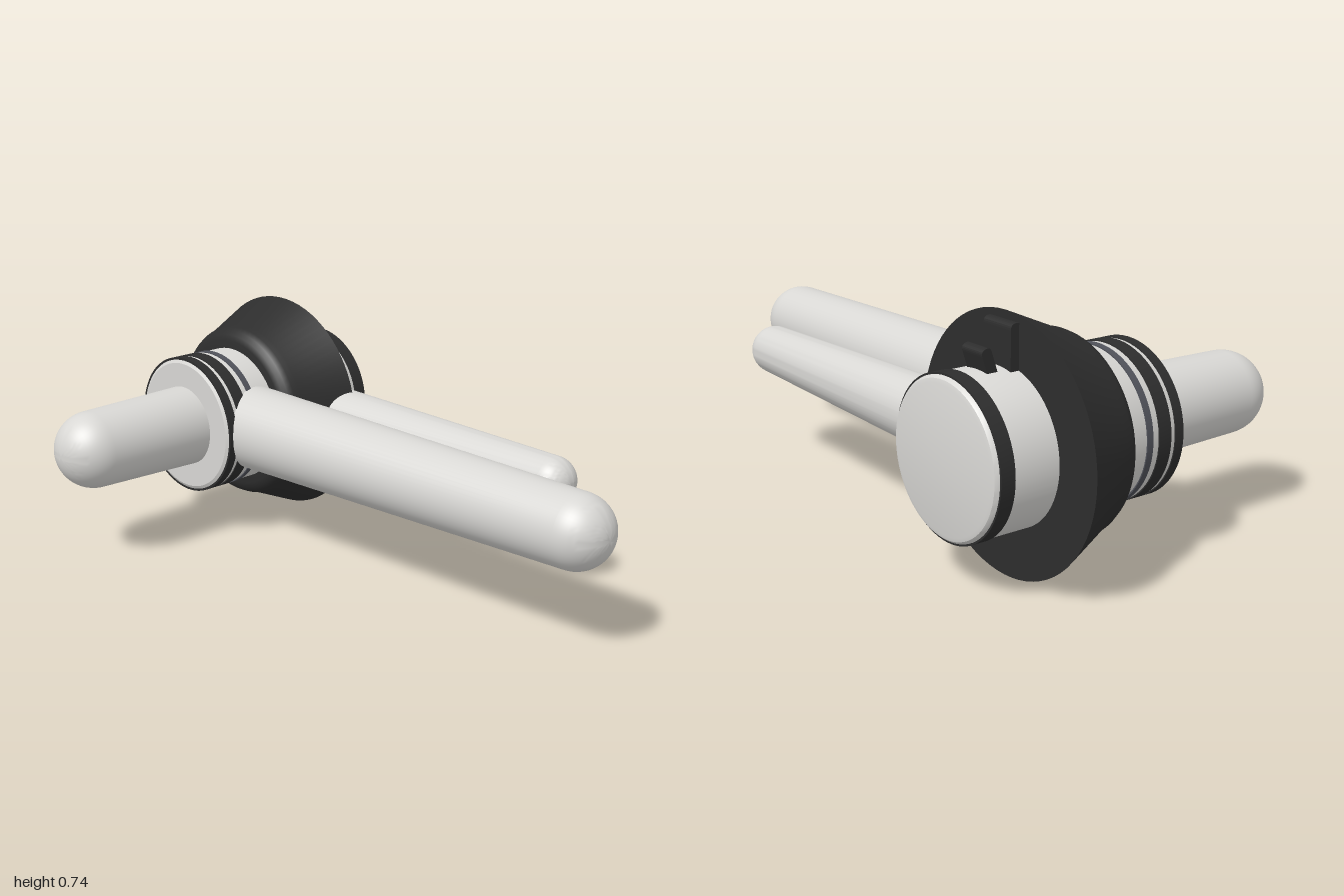
import * as THREE from 'three';
import { toCreasedNormals } from 'three/addons/utils/BufferGeometryUtils.js';

const paint = (name, color) => {
  const m = new THREE.MeshStandardMaterial({ color });
  m.name = name;
  return m;
};

export function createModel() {
  const light = paint('light grey', 0xd8d7d4);
  const dark = paint('charcoal', 0x2d2d2d);
  const grey = paint('slate grey', 0x50525a);

  const model = new THREE.Group();
  const hub = new THREE.Group();
  hub.name = 'hub';
  hub.position.set(-0.63, 0.373, 0);
  model.add(hub);

  const add = (name, geometry, material) => {
    const mesh = new THREE.Mesh(geometry, material);
    mesh.name = name;
    hub.add(mesh);
    return mesh;
  };

  // Turned part around the z axis; points are [radius, z] from back to front
  const turned = (points) => toCreasedNormals(
    new THREE.LatheGeometry(points.map(([r, z]) => new THREE.Vector2(r, z)), 72).rotateX(Math.PI / 2), 0.5);

  // Tapered rod along +y with a round tip
  const rod = (baseRadius, tipRadius, start, end) => {
    const points = [new THREE.Vector2(0, start), new THREE.Vector2(baseRadius, start)];
    for (let i = 0; i <= 16; i++) {
      const a = (i / 16) * Math.PI / 2;
      points.push(new THREE.Vector2(
        i === 16 ? 0 : tipRadius * Math.cos(a), end - tipRadius + tipRadius * Math.sin(a)));
    }
    return toCreasedNormals(new THREE.LatheGeometry(points, 56), 0.7);
  };

  // Main barrel with softened ends
  add('barrel', turned([
    [0, -0.571], [0.205, -0.571], [0.216, -0.568], [0.223, -0.56], [0.226, -0.55],
    [0.226, 0.055], [0.222, 0.067], [0.212, 0.073], [0, 0.073],
  ]), light);

  // Rings around the barrel
  const bands = [
    ['frontRing', 0.037, 0.067, dark], ['middleRing', -0.022, 0.022, dark],
    ['thinRing', -0.065, -0.044, grey], ['backRing', -0.557, -0.512, dark],
  ];
  for (const [name, back, front, material] of bands) {
    add(name, turned([[0.218, back], [0.2295, back], [0.2295, front], [0.218, front]]), material);
  }

  // Flared collar with a rounded front shoulder and flat back
  add('collar', turned([
    [0.2, -0.367], [0.37, -0.367], [0.297, -0.198], [0.293, -0.178], [0.284, -0.16],
    [0.271, -0.148], [0.252, -0.141], [0.2, -0.14],
  ]), dark);

  // Front handle and the two side arms
  add('frontHandle', rod(0.134, 0.125, 0, 0.572).rotateX(Math.PI / 2), light);
  add('longArm', rod(0.14, 0.113, 0.1, 1.63).rotateZ(-Math.PI / 2), light).position.z = -0.082;
  add('shortArm', rod(0.107, 0.077, 0.1, 1.285).rotateZ(-Math.PI / 2), light).position.z = -0.367;

  // Plate with a rounded top edge, extruded sideways
  const plate = (width, height, depth) => {
    const r = depth * 0.49;
    const s = new THREE.Shape();
    s.moveTo(-depth / 2, 0);
    s.lineTo(depth / 2, 0);
    s.lineTo(depth / 2, height - r);
    s.quadraticCurveTo(depth / 2, height, depth / 2 - r, height);
    s.lineTo(-depth / 2 + r, height);
    s.quadraticCurveTo(-depth / 2, height, -depth / 2, height - r);
    const g = new THREE.ExtrudeGeometry(s, { depth: width, bevelEnabled: false, curveSegments: 6 });
    return g.translate(0, 0, -width / 2).rotateY(Math.PI / 2);
  };

  // Latch on top behind the collar
  add('latchPlate', plate(0.115, 0.15, 0.036), dark).position.set(0, 0.197, -0.376);
  const lever = add('latchLever', plate(0.085, 0.095, 0.032), dark);
  lever.position.set(0, 0.198, -0.434);
  lever.rotation.x = -0.32;

  return model;
}
